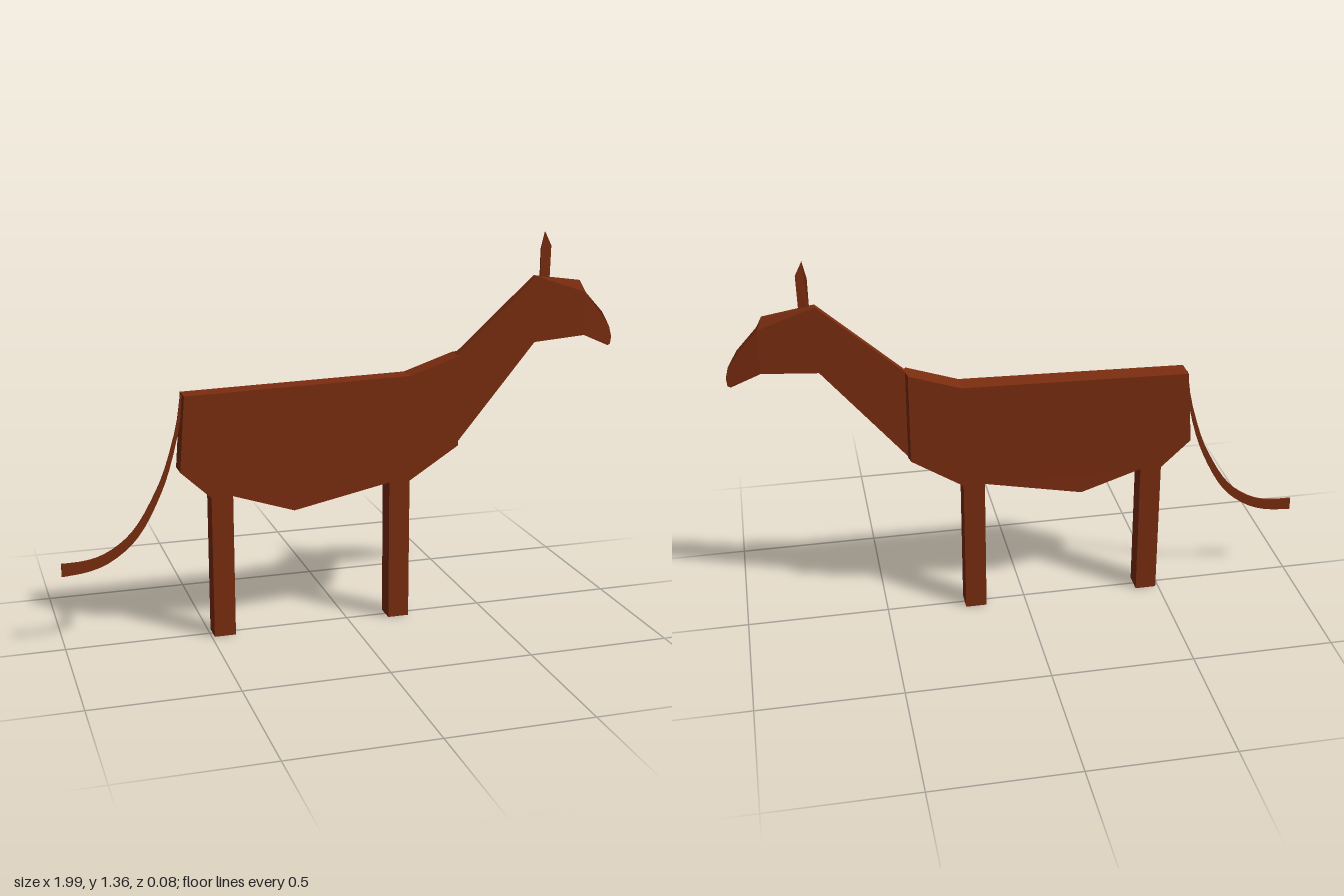
import * as THREE from 'three';
import { ConvexGeometry } from 'three/addons/geometries/ConvexGeometry.js';

const rust = new THREE.MeshStandardMaterial({ color: 0x7c2d10 });
rust.name = 'rust brown';

const v2 = (p) => new THREE.Vector2(p[0], p[1]);

// Flat slab cut from an outline; halfAt(x, y) gives its half thickness at each corner
function slab(outline, halfAt, zCentre = 0) {
  const geo = new THREE.ExtrudeGeometry(new THREE.Shape(outline.map(v2)), { depth: 1, bevelEnabled: false });
  const pos = geo.attributes.position;
  for (let i = 0; i < pos.count; i++) {
    const half = halfAt(pos.getX(i), pos.getY(i));
    pos.setZ(i, zCentre + (pos.getZ(i) > 0.5 ? half : -half));
  }
  geo.computeVertexNormals();
  return geo;
}

export function createModel() {
  const model = new THREE.Group();
  model.name = 'woodenAnimal';
  const add = (name, geo) => {
    const mesh = new THREE.Mesh(geo, rust);
    mesh.name = name;
    model.add(mesh);
    return mesh;
  };
  const HALF = 0.037;

  // Body plank with angular belly
  add('body', slab([
    [-0.595, 0.603], [-0.49, 0.505], [-0.415, 0.505], [-0.2, 0.435], [0.145, 0.505],
    [0.22, 0.505], [0.4, 0.62], [0.4, 0.943], [0.22, 0.883], [-0.575, 0.865],
  ], (x, y) => (y < 0.45 ? 0.039 : HALF)));

  // Shallow chest wedge leading into the neck
  const chest = [];
  for (const s of [-1, 1]) {
    chest.push(new THREE.Vector3(0.399, 0.62, s * HALF), new THREE.Vector3(0.399, 0.943, s * HALF));
    chest.push(new THREE.Vector3(0.406, 0.622, s * 0.013), new THREE.Vector3(0.406, 0.949, s * 0.013));
  }
  add('chest', new ConvexGeometry(chest));

  // Square legs
  for (const [name, x] of [['hindLeg', -0.4525], ['frontLeg', 0.1825]]) {
    add(name, new THREE.BoxGeometry(0.075, 0.505, HALF * 2)).position.set(x, 0.2525, 0);
  }

  // Neck
  add('neck', slab([[0.4, 0.62], [0.69, 0.97], [0.69, 1.205], [0.4, 0.943]], () => 0.013, 0.002));

  // Head, thinning towards the muzzle
  add('head', slab([
    [0.69, 0.97], [0.88, 0.985], [0.98, 0.94], [0.99, 0.945], [0.993, 0.972],
    [0.983, 1.01], [0.95, 1.065], [0.88, 1.14], [0.69, 1.205],
  ], (x) => (x < 0.8 ? 0.013 : x < 0.9 ? 0.015 : x < 0.97 ? 0.01 : 0.004), 0.002));

  // Ridged forehead
  add('forehead', new ConvexGeometry([
    new THREE.Vector3(0.69, 1.205, -0.011), new THREE.Vector3(0.69, 1.205, 0.015),
    new THREE.Vector3(0.88, 1.14, -0.013), new THREE.Vector3(0.88, 1.14, 0.017),
    new THREE.Vector3(0.862, 1.182, 0.002),
  ]));

  // Single upright ear
  add('ear', slab([
    [0.707, 1.18], [0.742, 1.18], [0.745, 1.31], [0.721, 1.36], [0.708, 1.3],
  ], (x, y) => (y > 1.35 ? 0.001 : 0.004), 0.005));

  // Flat ribbon tail, widening towards its end
  const path = new THREE.SplineCurve([
    [-0.577, 0.86], [-0.592, 0.75], [-0.632, 0.605], [-0.672, 0.51],
    [-0.725, 0.415], [-0.78, 0.353], [-0.85, 0.308], [-0.92, 0.288], [-1, 0.283],
  ].map(v2));
  const upper = [], lower = [];
  const STEPS = 20;
  for (let i = 0; i <= STEPS; i++) {
    const t = i / STEPS;
    const p = path.getPoint(t), d = i === STEPS ? new THREE.Vector2(-1, 0) : path.getTangent(t);
    const w = 0.003 + 0.02 * t;
    upper.push([p.x + d.y * w, p.y - d.x * w]);
    lower.unshift([p.x - d.y * w, p.y + d.x * w]);
  }
  add('tail', slab([...upper, ...lower], () => 0.003, -0.008));

  return model;
}
